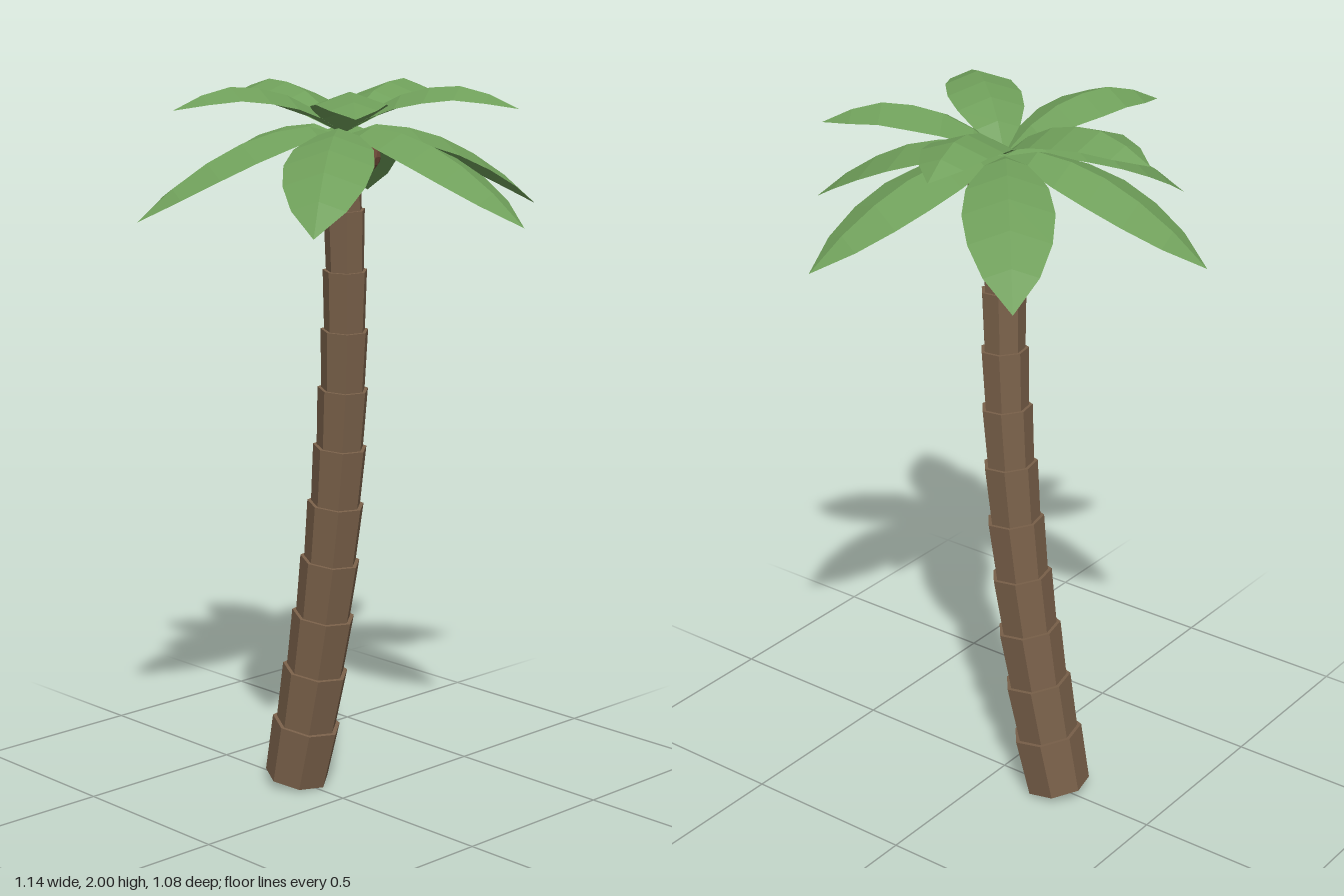
import * as THREE from 'three';

const material = (name, color, side = THREE.FrontSide) => {
  const m = new THREE.MeshStandardMaterial({ color, side, flatShading: true });
  m.name = name;
  return m;
};

// Centre line of the leaning trunk, t from 0 (ground) to 1 (crown)
const trunkPoint = (t) => new THREE.Vector3(
  -0.19 * (1 - t) ** 2, 0.02 + 1.81 * t, -0.028 * Math.sin(Math.PI * t));

// Folded leaf along +x: a raised ridge with two drooping edges
function frondGeometry(length, width, heights, fold) {
  const n = heights.length - 1;
  const positions = [];
  const index = [];
  for (let i = 0; i <= n; i++) {
    const t = i / n;
    const w = width * Math.max(0, Math.sin(Math.PI * t)) ** 0.75;
    const x = length * t, y = heights[i];
    positions.push(x, y - fold * w, -w, x, y, 0, x, y - fold * w, w);
    if (i === n) break;
    for (let side = 0; side < 2; side++) {
      const a = i * 3 + side, b = a + 1, c = a + 3, d = a + 4;
      index.push(a, b, c, b, d, c);
    }
  }
  const geometry = new THREE.BufferGeometry();
  geometry.setAttribute('position', new THREE.Float32BufferAttribute(positions, 3));
  geometry.setIndex(index);
  geometry.computeVertexNormals();
  return geometry;
}

export function createModel() {
  const bark = material('bark brown', 0x7a614a);
  const leaf = material('leaf green', 0x6f9f5a, THREE.DoubleSide);
  const shell = material('coconut brown', 0x6e4a38);

  const model = new THREE.Group();
  model.name = 'palmTree';
  const add = (parent, name, geometry, mat) => {
    const mesh = new THREE.Mesh(geometry, mat);
    mesh.name = name;
    parent.add(mesh);
    return mesh;
  };

  // Trunk: stacked segments, each flaring slightly at its top
  const trunk = new THREE.Group();
  trunk.name = 'trunk';
  model.add(trunk);
  const segments = 11;
  const up = new THREE.Vector3(0, 1, 0);
  for (let i = 0; i < segments; i++) {
    const a = trunkPoint(i / segments), b = trunkPoint((i + 1) / segments);
    const axis = b.clone().sub(a);
    const r = 0.095 - 0.045 * (i / (segments - 1));
    const mesh = add(trunk, 'trunkSegment',
      new THREE.CylinderGeometry(r * 1.05, r * 0.97, axis.length() * 1.02, 7), bark);
    mesh.position.copy(a).add(b).multiplyScalar(0.5);
    mesh.quaternion.setFromUnitVectors(up, axis.normalize());
  }

  // Crown: a drooping lower ring and a raised upper ring of fronds
  const rings = [
    { name: 'lowerFrond', count: 6, start: -9, length: 0.577, width: 0.117, fold: 0.35,
      heights: [1.865, 1.892, 1.88, 1.852, 1.805, 1.742, 1.66] },
    { name: 'upperFrond', count: 5, start: -32, length: 0.473, width: 0.1, fold: 0.35,
      heights: [1.87, 1.935, 1.975, 1.995, 2.0, 1.98, 1.943] },
  ];
  const crown = new THREE.Group();
  crown.name = 'crown';
  model.add(crown);
  for (const ring of rings) {
    const geometry = frondGeometry(ring.length, ring.width, ring.heights, ring.fold);
    for (let i = 0; i < ring.count; i++) {
      const frond = add(crown, ring.name, geometry, leaf);
      frond.rotation.y = -THREE.MathUtils.degToRad(ring.start + i * 360 / ring.count);
    }
  }

  // Coconuts clustered under the crown
  const nut = new THREE.IcosahedronGeometry(0.043, 1);
  for (let i = 0; i < 3; i++) {
    const a = THREE.MathUtils.degToRad(57 + i * 120);
    add(crown, 'coconut', nut, shell).position.set(0.062 * Math.cos(a), 1.808, 0.062 * Math.sin(a));
  }
  return model;
}
